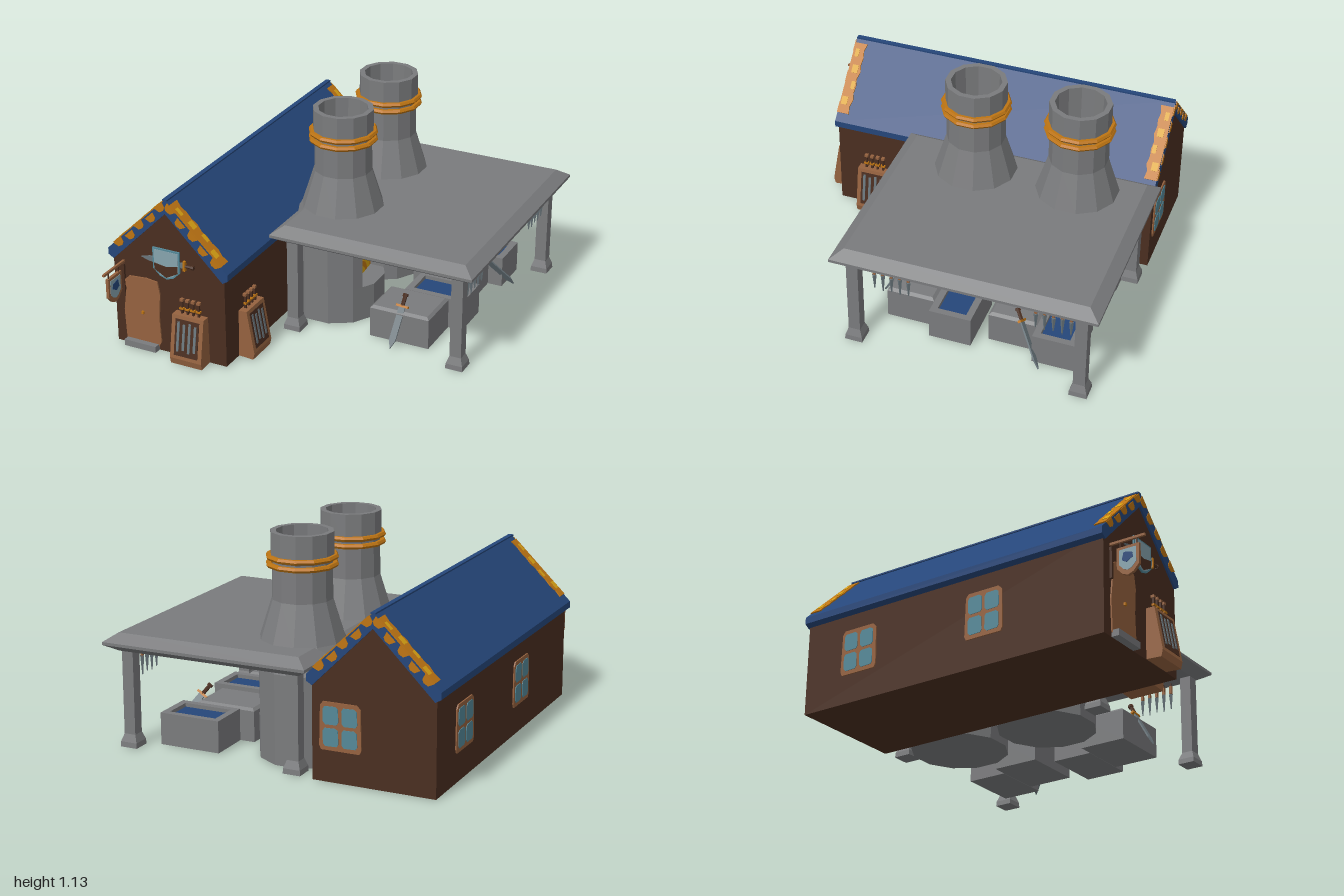
import * as THREE from 'three';

const mat = (name, color) => Object.assign(new THREE.MeshStandardMaterial({ color }), { name });
const M = {
  stone: mat('stone grey', 0x7a7b7d), wall: mat('dark timber', 0x4a2e20), roof: mat('roof blue', 0x25467a),
  orange: mat('worn orange', 0xbd7413), gold: mat('glowing gold', 0xd6a013), wood: mat('warm wood', 0x95623f),
  glass: mat('window glass', 0x5488981), steel: mat('blade steel', 0x6a767c), pale: mat('pale enamel', 0x86a3ad),
};
M.glass.color.set(0x548898);

function add(parent, name, geo, m, x = 0, y = 0, z = 0) {
  const g = geo.index ? geo.toNonIndexed() : geo;
  g.computeVertexNormals();
  const mesh = new THREE.Mesh(g, m);
  mesh.name = name;
  mesh.position.set(x, y, z);
  parent.add(mesh);
  return mesh;
}
function sub(parent, name, x = 0, y = 0, z = 0, ry = 0) {
  const g = new THREE.Group();
  g.name = name;
  g.position.set(x, y, z);
  g.rotation.y = ry;
  parent.add(g);
  return g;
}
const box = (w, h, d) => new THREE.BoxGeometry(w, h, d);
const shape = pts => new THREE.Shape(pts.map(p => new THREE.Vector2(...p)));
const extrude = (pts, depth) => new THREE.ExtrudeGeometry(shape(pts), { depth, bevelEnabled: false });

// Horizontal rings, stacked by loft()
const ring = (cx, y, cz, r) => Array.from({ length: 12 }, (_, i) => {
  const a = (i + 0.5) * Math.PI / 6;
  return [cx + r * Math.cos(a), y, cz + r * Math.sin(a)];
});
const rect = (x0, x1, z0, z1, y) => [[x1, y, z0], [x1, y, z1], [x0, y, z1], [x0, y, z0]];
function loft(rings) {
  const v = [], n = rings[0].length;
  const mid = r => [0, 1, 2].map(k => r.reduce((s, p) => s + p[k], 0) / n);
  const first = rings[0], last = rings[rings.length - 1], cb = mid(first), ct = mid(last);
  for (let j = 0; j < n; j++) {
    const k = (j + 1) % n;
    for (let i = 0; i + 1 < rings.length; i++) {
      const [A, B, C, D] = [rings[i][j], rings[i][k], rings[i + 1][k], rings[i + 1][j]];
      v.push(...A, ...D, ...C, ...A, ...C, ...B);
    }
    v.push(...cb, ...first[j], ...first[k], ...ct, ...last[k], ...last[j]);
  }
  return new THREE.BufferGeometry().setAttribute('position', new THREE.Float32BufferAttribute(v, 3));
}

// Sword with its guard at "from" and its tip at "to"
function sword(parent, from, to, w = 0.03) {
  const a = new THREE.Vector3(...from), d = new THREE.Vector3(...to).sub(a), len = d.length();
  const g = sub(parent, 'sword', ...from);
  g.quaternion.setFromUnitVectors(new THREE.Vector3(0, -1, 0), d.normalize());
  add(g, 'blade', extrude([[-w / 2, 0], [-w / 2, -len * 0.8], [0, -len], [w / 2, -len * 0.8], [w / 2, 0]], 0.008), M.steel, 0, 0, -0.004);
  add(g, 'guard', box(w * 1.9, 0.012, 0.018), M.orange);
  add(g, 'grip', new THREE.CylinderGeometry(w * 0.3, w * 0.3, w * 1.5, 6), M.wall, 0, w * 0.8);
  add(g, 'pommel', new THREE.CylinderGeometry(w * 0.42, w * 0.42, w * 0.45, 6), M.wall, 0, w * 1.7);
}

// Leaning rack of blades, back against a wall, facing +z
function rack(parent, x, z, ry) {
  const g = sub(parent, 'swordRack', x, 0, z, ry);
  const body = add(g, 'rackCase', extrude([[0, 0.01], [0.082, 0.005], [0.09, 0.04], [0.05, 0.27], [0.005, 0.27]], 0.18), M.wood, 0.09);
  body.rotation.y = -Math.PI / 2;
  const f = sub(g, 'rackFront', 0, 0.155, 0.07);
  f.rotation.x = -0.172;
  add(f, 'rackPanel', box(0.135, 0.195, 0.006), M.wall);
  for (let i = 0; i < 4; i++) {
    const px = -0.048 + i * 0.032;
    add(f, 'rackBlade', box(0.014, 0.16 - (i % 2) * 0.02, 0.008), M.steel, px, 0.005, 0.002);
    add(g, 'rackGuard', box(0.024, 0.01, 0.016), M.orange, px, 0.298, 0.024);
    add(g, 'rackGrip', box(0.011, 0.075, 0.012), M.wall, px, 0.305, 0.022);
    add(g, 'rackPommel', box(0.018, 0.014, 0.018), M.wood, px, 0.344, 0.02);
  }
}

// Four-pane window facing +z
function windowFrame(parent, x, y, z, ry) {
  const g = sub(parent, 'window', x, y, z, ry);
  add(g, 'frame', extrude([[-0.11, -0.1], [-0.1, -0.12], [0.1, -0.12], [0.11, -0.1], [0.105, 0.1], [0.085, 0.12], [-0.09, 0.12], [-0.105, 0.1]], 0.008), M.wood);
  for (const sx of [-1, 1]) for (const sy of [-1, 1])
    add(g, 'pane', extrude([[-0.04, -0.032], [-0.028, -0.046], [0.032, -0.044], [0.041, -0.03], [0.038, 0.036], [0.024, 0.046], [-0.032, 0.044], [-0.041, 0.03]], 0.004), M.glass, sx * 0.049, sy * 0.054, 0.007);
}

const shield = (w, h) => [[-w / 2, 0], [-w / 2, -h * 0.7], [-w * 0.25, -h * 0.92], [0, -h], [w * 0.25, -h * 0.92], [w / 2, -h * 0.7], [w / 2, 0]];

function buildHouse(root) {
  const cx = -0.553, h = sub(root, 'house', cx);
  add(h, 'walls', extrude([[-0.32, 0.008], [0.32, 0.008], [0.32, 0.52], [0, 0.83], [-0.32, 0.52]], 1.765), M.wall, 0, 0, -0.955);
  add(h, 'roof', extrude([[0, 0.87], [-0.345, 0.535], [-0.345, 0.5], [-0.315, 0.482], [0, 0.795], [0.315, 0.482], [0.345, 0.5], [0.345, 0.535]], 1.786), M.roof, 0, 0, -0.966);
  add(h, 'ridge', box(0.026, 0.008, 1.78), M.roof, 0, 0.868, -0.073);
  // Worn trim at both gable ends of both slopes
  for (const s of [0, 1]) {
    const slope = sub(sub(h, 'slope', 0, 0.87, -0.073, s * Math.PI), 'slopeTrim');
    slope.rotation.z = -Math.atan2(0.335, 0.345);
    for (const e of [-1, 1]) {
      const edge = [[0.035, 0.892], [0.43, 0.892]];
      for (let i = 0; i <= 10; i++) edge.push([0.43 - i * 0.0395, 0.826 + [0, 0.007, -0.004, 0.004][i % 4]]);
      const strip = add(slope, 'edgeStrip', extrude(edge.map(([x, z]) => [x, -e * z]), 0.008), M.orange, 0, -0.002);
      strip.rotation.x = -Math.PI / 2;
      for (let i = 0; i < 4; i++)
        add(slope, 'goldWear', box(0.045, 0.004, 0.022 + (i % 2) * 0.012), M.gold, 0.09 + i * 0.09, 0.006, e * (0.868 - (i % 3) * 0.012));
      for (let i = 0; i < 5; i++) {
        const px = 0.02 + i * 0.087, lo = i % 2 ? -0.046 : -0.036, hi = i % 2 ? -0.008 : 0.001;
        add(slope, 'gablePatch', extrude([[px, hi], [px + 0.008, lo + 0.008], [px + 0.025, lo], [px + 0.05, lo + 0.006], [px + 0.062, hi]], 0.005), M.orange, 0, 0, e * 0.894 - 0.0025);
      }
    }
  }
  // Door and step
  add(h, 'door', extrude([[-0.26, 0.03], [-0.07, 0.03], [-0.055, 0.06], [-0.062, 0.2], [-0.052, 0.33], [-0.065, 0.4], [-0.13, 0.408], [-0.23, 0.4], [-0.262, 0.37], [-0.25, 0.33], [-0.268, 0.2]], 0.009), M.wood, 0, 0, 0.809);
  add(h, 'doorKnob', box(0.014, 0.014, 0.012), M.orange, -0.155, 0.21, 0.822);
  add(h, 'doorStep', box(0.185, 0.034, 0.04), M.stone, -0.165, 0.025, 0.83);
  // Shield and crossing sword over the door
  sword(h, [0.1, 0.53, 0.818], [-0.15, 0.53, 0.818], 0.028);
  add(h, 'shieldRim', extrude(shield(0.155, 0.165), 0.009), M.glass, 0, 0.602, 0.82);
  add(h, 'shieldFace', extrude(shield(0.138, 0.148), 0.005), M.pale, 0, 0.594, 0.826);
  add(h, 'shieldField', extrude([[-0.068, -0.075], [0, -0.085], [0.068, -0.07], [0.066, -0.11], [0, -0.146], [-0.066, -0.11]], 0.004), M.wall, 0, 0.594, 0.829);
  // Hanging sign on a rod
  const sign = sub(h, 'hangingSign', -0.262, 0.475, 0.905, Math.PI / 2);
  add(sign, 'rod', box(0.19, 0.012, 0.012), M.wood);
  for (const s of [-1, 1]) add(sign, 'hanger', box(0.005, 0.04, 0.005), M.wall, -0.005 + s * 0.045, -0.022);
  add(sign, 'signBoard', extrude(shield(0.12, 0.15), 0.016), M.wood, -0.005, -0.035, -0.008);
  for (const s of [-1, 1]) {
    add(sign, 'signField', extrude(shield(0.09, 0.11), 0.003), M.pale, -0.005, -0.05, s * 0.009 - 0.0015);
    add(sign, 'signEmblem', extrude([[-0.025, -0.02], [0.02, -0.01], [0.03, -0.05], [0.005, -0.065], [-0.03, -0.045]], 0.003), M.roof, -0.005, -0.055, s * 0.011 - 0.0015);
  }
  add(h, 'doorLamp', box(0.014, 0.16, 0.015), M.wall, -0.262, 0.38, 0.816);
  windowFrame(h, 0.17, 0.29, -0.954, Math.PI);
  for (const z of [-0.62, 0.14]) windowFrame(h, -0.319, 0.28, z, -Math.PI / 2);
  rack(root, -0.42, 0.81, 0);
  rack(root, -0.233, 0.595, Math.PI / 2);
}

function buildFurnace(root, z) {
  const g = sub(root, 'furnace', 0, 0, z), bx = -0.046, r = 0.255;
  add(g, 'furnaceBase', loft([ring(bx, 0.008, 0, r), ring(bx, 0.2, 0, r)]), M.stone);
  // Middle storey with the fire opening cut out towards +x
  const pts = ring(bx, 0, 0, r).map(p => [p[0], p[2]]);
  const notch = [[0.163, -0.13], [0.08, -0.13], [0.08, 0.13], [0.163, 0.13]];
  const mid = add(g, 'furnaceMouth', extrude([...notch, ...pts.slice(1, 11)], 0.17), M.stone, 0, 0.2);
  mid.rotation.x = -Math.PI / 2;
  add(g, 'chimney', loft([ring(bx, 0.37, 0, r), ring(bx, 0.47, 0, r), ring(-0.012, 0.6, 0, 0.216), ring(-0.012, 0.8, 0, 0.153), ring(-0.012, 0.99, 0, 0.15),
    ring(-0.012, 1.0, 0, 0.158), ring(-0.012, 1.135, 0, 0.158), ring(-0.012, 1.135, 0, 0.13), ring(-0.012, 0.95, 0, 0.125)]), M.stone);
  for (const y of [0.972, 1.01]) {
    const band = add(g, 'chimneyBand', new THREE.TorusGeometry(0.165, 0.016, 6, 12), M.orange, -0.012, y, 0);
    band.rotation.set(Math.PI / 2, 0, Math.PI / 12);
    band.scale.z = 0.85;
  }
  // Layered glow inside the mouth
  const fire = sub(g, 'fire', 0.08, 0.2, 0, Math.PI / 2);
  add(fire, 'fireBack', box(0.26, 0.17, 0.008), M.orange, 0, 0.085, 0.002);
  [[0.115, M.gold], [0.075, M.orange], [0.045, M.gold]].forEach(([q, m], i) => {
    const arc = Array.from({ length: 9 }, (_, k) => [q * Math.cos(k * Math.PI / 8), q * 0.95 * Math.sin(k * Math.PI / 8)]);
    add(fire, 'flameArc', extrude(arc, 0.004), m, 0, 0.001, 0.005 + i * 0.003);
  });
  add(fire, 'sootEdge', extrude([[-0.13, 0.17], [-0.13, 0.145], [-0.08, 0.155], [-0.02, 0.15], [0.05, 0.158], [0.13, 0.14], [0.13, 0.17]], 0.005), M.wall, 0, 0, 0.005);

  // Work block and water trough in front of the mouth
  add(g, 'workBlock', loft([rect(0.27, 0.6, 0.005, 0.26, 0.008), rect(0.27, 0.6, 0.005, 0.26, 0.17), rect(0.285, 0.585, 0.02, 0.245, 0.183)]), M.stone);
  const T = (i, y) => rect(0.35 + i, 0.68 - i, -0.22 + i, 0.003 - i, y);
  add(g, 'trough', loft([T(0, 0.008), T(0, 0.175), T(0.035, 0.175), T(0.035, 0.145)]), M.stone);
  add(g, 'water', box(0.26, 0.006, 0.153), M.roof, 0.515, 0.152, -0.1085);
}

function buildCanopy(root) {
  const g = sub(root, 'canopy');
  const R = (i, y) => rect(-0.215 + i, 0.9 - i, -1 + i, 0.38 - i, y);
  add(g, 'canopyRoof', loft([R(0.06, 0.508), R(0, 0.545), R(0, 0.56), R(0.06, 0.602)]), M.stone);
  for (const x of [-0.115, 0.8]) for (const z of [-0.9, 0.288]) {
    const P = (s, y) => rect(x - s, x + s, z - s, z + s, y);
    add(g, 'post', loft([P(0.047, 0.008), P(0.045, 0.035), P(0.031, 0.075), P(0.031, 0.51)]), M.stone);
  }
  // Blades hanging from the outer edge
  for (const z0 of [0.18, -0.66]) for (let i = 0; i < 5; i++) {
    const z = z0 - i * 0.045;
    add(g, 'hook', box(0.006, 0.03, 0.006), M.wall, 0.8, 0.498, z);
    add(g, 'hangingGrip', box(0.012, 0.045, 0.014), M.wood, 0.8, 0.468, z);
    add(g, 'hangingBlade', new THREE.CylinderGeometry(0.012, 0.003, 0.085 + (i % 2) * 0.015, 4), M.steel, 0.8, 0.4, z);
  }
}

export function createModel() {
  const root = new THREE.Group();
  root.name = 'smithy';
  buildHouse(root);
  for (const z of [-0.062, -0.61]) buildFurnace(root, z);
  buildCanopy(root);
  sword(root, [0.44, 0.205, 0.17], [0.425, 0.01, 0.285], 0.035);
  sword(root, [0.61, 0.195, -0.53], [0.73, 0.012, -0.66], 0.035);
  return root;
}
